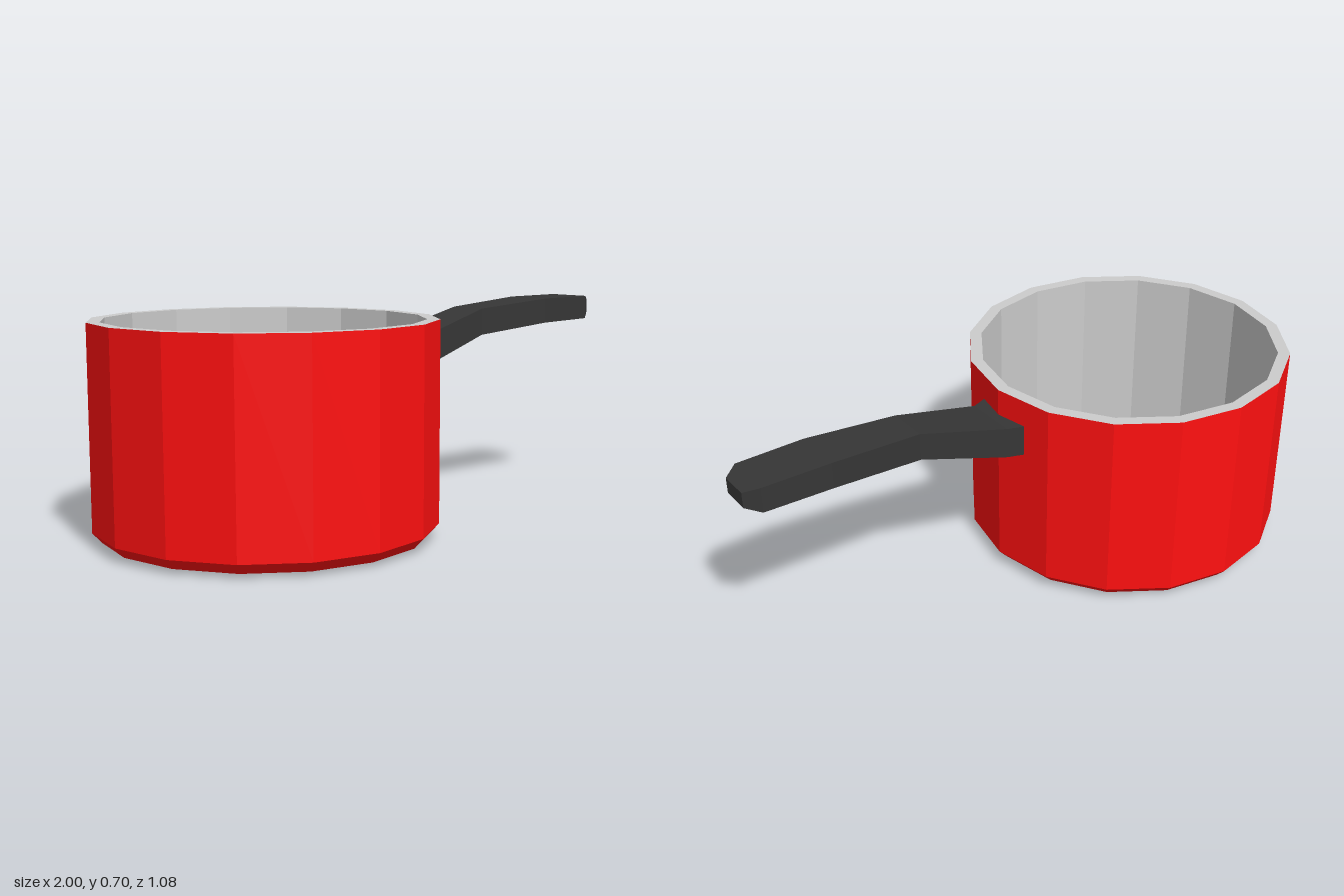
import * as THREE from 'three';

const POT_X = -0.46;
const SIDES = 16;

const material = (color) => new THREE.MeshStandardMaterial({ color, flatShading: true });

// Faceted ring of revolution around the pot's axis; profile is [radius, y] pairs
function turned(name, profile, mat) {
  const points = profile.map(([r, y]) => new THREE.Vector2(r, y));
  const geometry = new THREE.LatheGeometry(points, SIDES).toNonIndexed();
  geometry.computeVertexNormals();
  const mesh = new THREE.Mesh(geometry, mat);
  mesh.name = name;
  mesh.position.x = POT_X;
  return mesh;
}

// Rectangular cross-sections [x, bottom, top, halfWidth] joined along x, capped at both ends
function loft(sections) {
  const positions = [];
  const rings = sections.map(([x, b, t, w]) => [[x, b, w], [x, b, -w], [x, t, -w], [x, t, w]]);
  const quad = (a, b, c, d) => positions.push(...a, ...b, ...c, ...a, ...c, ...d);
  for (let s = 0; s < rings.length - 1; s++) {
    for (let i = 0; i < 4; i++) {
      const j = (i + 1) % 4;
      quad(rings[s][i], rings[s][j], rings[s + 1][j], rings[s + 1][i]);
    }
  }
  const first = rings[0];
  quad(first[3], first[2], first[1], first[0]);
  quad(...rings[rings.length - 1]);
  const geometry = new THREE.BufferGeometry();
  geometry.setAttribute('position', new THREE.Float32BufferAttribute(positions, 3));
  geometry.computeVertexNormals();
  return geometry;
}

export function createModel() {
  const model = new THREE.Group();
  model.name = 'saucepan';
  const red = material(0xff1010);
  const steel = material(0xcccccc);
  const black = material(0x363636);

  // Enamelled outside with a bevelled foot
  model.add(turned('outerWall', [[0.4, 0], [0.51, 0.012], [0.54, 0.045], [0.54, 0.68]], red));

  // Bare metal rim, inner wall and floor
  model.add(turned('rimAndLining', [[0.54, 0.68], [0.5, 0.68], [0.5, 0.045], [0, 0.045]], steel));

  // Metal plate underneath
  model.add(turned('basePlate', [[0, 0], [0.4, 0]], steel));

  // Curved handle, flared where it meets the wall and chamfered at the tip
  const handle = new THREE.Mesh(loft([
    [0.055, 0.485, 0.59, 0.11],
    [0.11, 0.485, 0.59, 0.09],
    [0.42, 0.583, 0.674, 0.069],
    [0.73, 0.61, 0.697, 0.083],
    [0.955, 0.615, 0.698, 0.079],
    [1.0, 0.632, 0.683, 0.048],
  ]), black);
  handle.name = 'handle';
  model.add(handle);

  return model;
}
